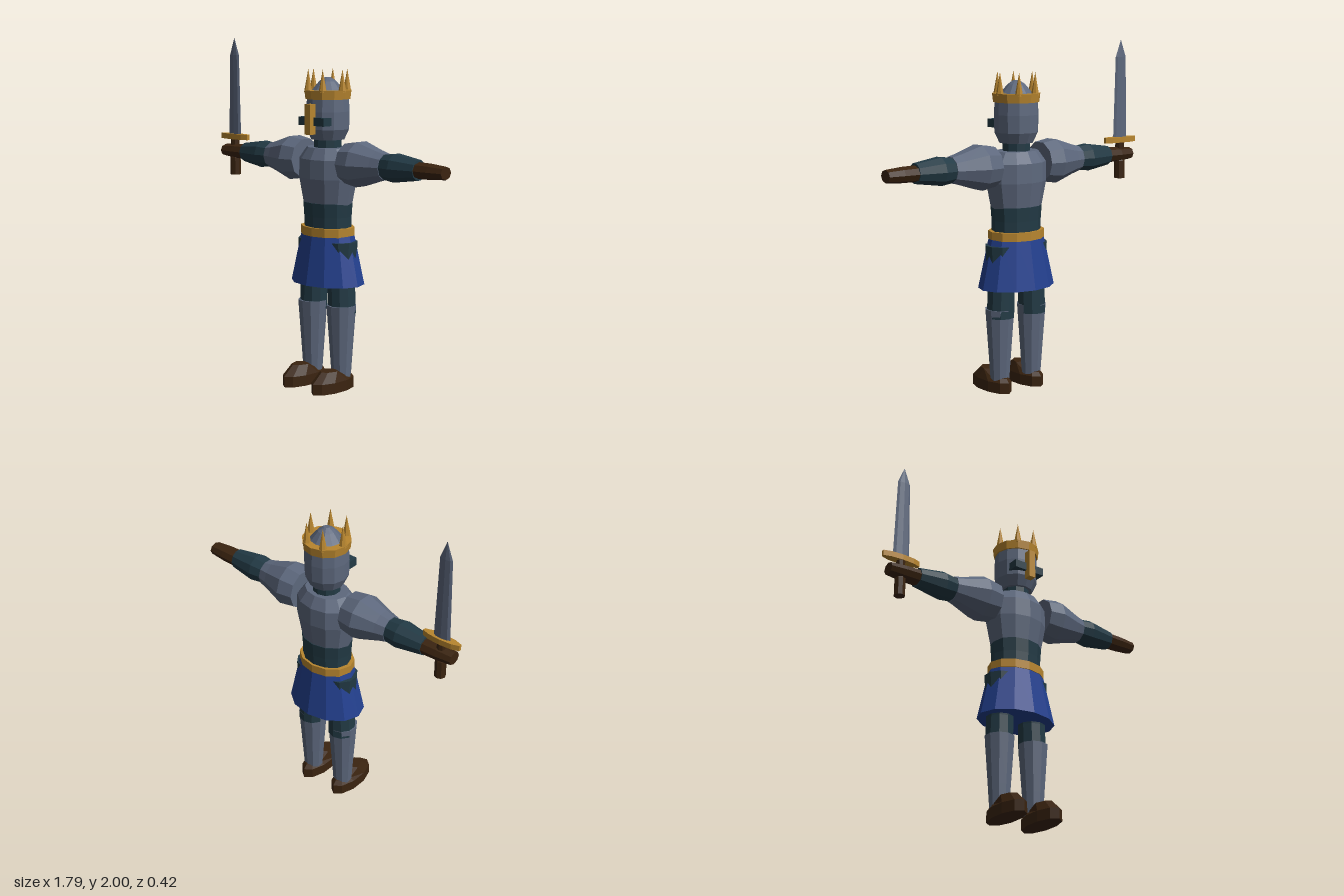
import * as THREE from 'three';

export function createModel() {
  const mat = (name, color) => {
    const m = new THREE.MeshStandardMaterial({ color });
    m.name = name;
    return m;
  };
  const steel = mat('steel', 0x5d687d);
  const gold = mat('gold', 0xb8862f);
  const blue = mat('blue cloth', 0x23408f);
  const leather = mat('brown leather', 0x3b2410);
  const dark = mat('dark padding', 0x223a45);

  const root = new THREE.Group();
  root.name = 'knight';
  const body = new THREE.Group();
  body.name = 'body';
  body.position.set(0.017, 0, -0.035);
  root.add(body);

  // Faceted mesh: each face gets its own normal
  const add = (name, geometry, material, parent = body) => {
    const g = geometry.index ? geometry.toNonIndexed() : geometry;
    g.computeVertexNormals();
    const mesh = new THREE.Mesh(g, material);
    mesh.name = name;
    parent.add(mesh);
    return mesh;
  };
  // Turned solid from [radius, height] pairs (bottom to top), closed at both ends
  const turned = (profile, sides = 12, depth = 1) => {
    const first = profile[0], last = profile[profile.length - 1];
    const pts = [[0, first[1]], ...profile, [0, last[1]]].map(([r, y]) => new THREE.Vector2(r, y));
    return new THREE.LatheGeometry(pts, sides).scale(1, 1, depth);
  };

  // Torso, belt and skirt
  add('waist', turned([[0.15, 0.9], [0.152, 1.0], [0.158, 1.08]], 12, 0.8), dark);
  add('breastplate', turned([[0.155, 1.06], [0.187, 1.22], [0.184, 1.33], [0.135, 1.395]], 12, 0.77), steel);
  add('belt', turned([[0.174, 0.89], [0.174, 0.94]], 12, 0.77), gold);
  add('skirt', turned([[0.24, 0.61], [0.174, 0.895]], 12, 0.74), blue);

  // Head and helmet
  add('neck', turned([[0.08, 1.36], [0.08, 1.48]], 10), dark);
  add('helmet', turned([[0.097, 1.44], [0.125, 1.5], [0.128, 1.6], [0.122, 1.69],
    [0.088, 1.725], [0.05, 1.77], [0.018, 1.792]]), steel);
  add('visor', new THREE.BoxGeometry(0.2, 0.047, 0.07).translate(0, 1.547, 0.103), dark);
  add('noseGuard', new THREE.BoxGeometry(0.042, 0.172, 0.045).translate(0, 1.56, 0.143), gold);

  // Crown: band with a ring of spikes
  const crown = new THREE.Group();
  crown.name = 'crown';
  body.add(crown);
  const band = [[0.085, 1.67], [0.132, 1.67], [0.138, 1.72], [0.085, 1.72], [0.085, 1.67]];
  add('crownBand', new THREE.LatheGeometry(band.map(([r, y]) => new THREE.Vector2(r, y)), 12), gold, crown);
  for (let i = 0; i < 6; i++) {
    const a = (i * Math.PI) / 3;
    add('crownSpike', new THREE.ConeGeometry(0.024, 0.13, 7)
      .translate(0.115 * Math.cos(a), 1.775, 0.115 * Math.sin(a)), gold, crown);
  }

  // Boot: oval rings, with the top sloping down to the heel
  const bootGeometry = () => {
    const g = turned([[1, 0], [1, 0.062], [0.72, 0.12]], 10);
    const p = g.attributes.position;
    for (let i = 0; i < p.count; i++) {
      let y = p.getY(i);
      const x = p.getX(i), z = p.getZ(i);
      const top = y > 0.1;
      if (top) y = z < -0.1 ? 0.085 : 0.12;
      p.setXYZ(i, x * 0.071, y, z * 0.162 + (top ? 0.055 : 0.078));
    }
    return g;
  };

  // Limbs
  for (const s of [1, -1]) {
    const side = s > 0 ? 'left' : 'right';

    const leg = new THREE.Group();
    leg.name = side + 'Leg';
    body.add(leg);
    const thigh = turned([[0.082, 0.44], [0.08, 0.6], [0.1, 0.86]], 10);
    const tp = thigh.attributes.position;
    for (let i = 0; i < tp.count; i++) tp.setX(i, tp.getX(i) + s * (0.115 - 0.03 * (tp.getY(i) - 0.44)));
    add('thigh', thigh, dark, leg);
    add('greave', turned([[0.057, 0.07], [0.066, 0.2], [0.087, 0.49]], 10)
      .translate(s * 0.116, 0, 0.006), steel, leg);
    add('boot', bootGeometry().translate(s * 0.118, 0, 0), leather, leg);

    // Arm parts are turned about y, then laid out sideways
    const arm = new THREE.Group();
    arm.name = side + 'Arm';
    body.add(arm);
    const along = (g) => g.rotateZ(-s * Math.PI / 2).translate(0, 1.316, 0.005);
    add('pauldron', along(turned([[0.118, 0.173], [0.133, 0.266], [0.09, 0.4], [0.076, 0.456]], 10)), steel, arm);
    add('forearm', along(turned([[0.07, 0.44], [0.082, 0.53], [0.058, 0.69]], 10)), dark, arm);
    add('glove', along(turned([[0.046, 0.68], [0.044, 0.78], [0.036, 0.876]], 8, 1.2)), leather, arm);
  }

  // Sword held upright in the right hand
  const sword = new THREE.Group();
  sword.name = 'sword';
  sword.position.set(-0.795, 0, 0);
  body.add(sword);
  add('grip', turned([[0.032, 1.17], [0.032, 1.275], [0.026, 1.29], [0.026, 1.39]], 8), leather, sword);
  add('crossguard', turned([[0.124, 1.387], [0.124, 1.42]], 10, 0.23), gold, sword);
  add('blade', turned([[0.053, 1.42], [0.04, 1.9], [0.001, 2.0]], 8, 0.27), steel, sword);

  return root;
}
